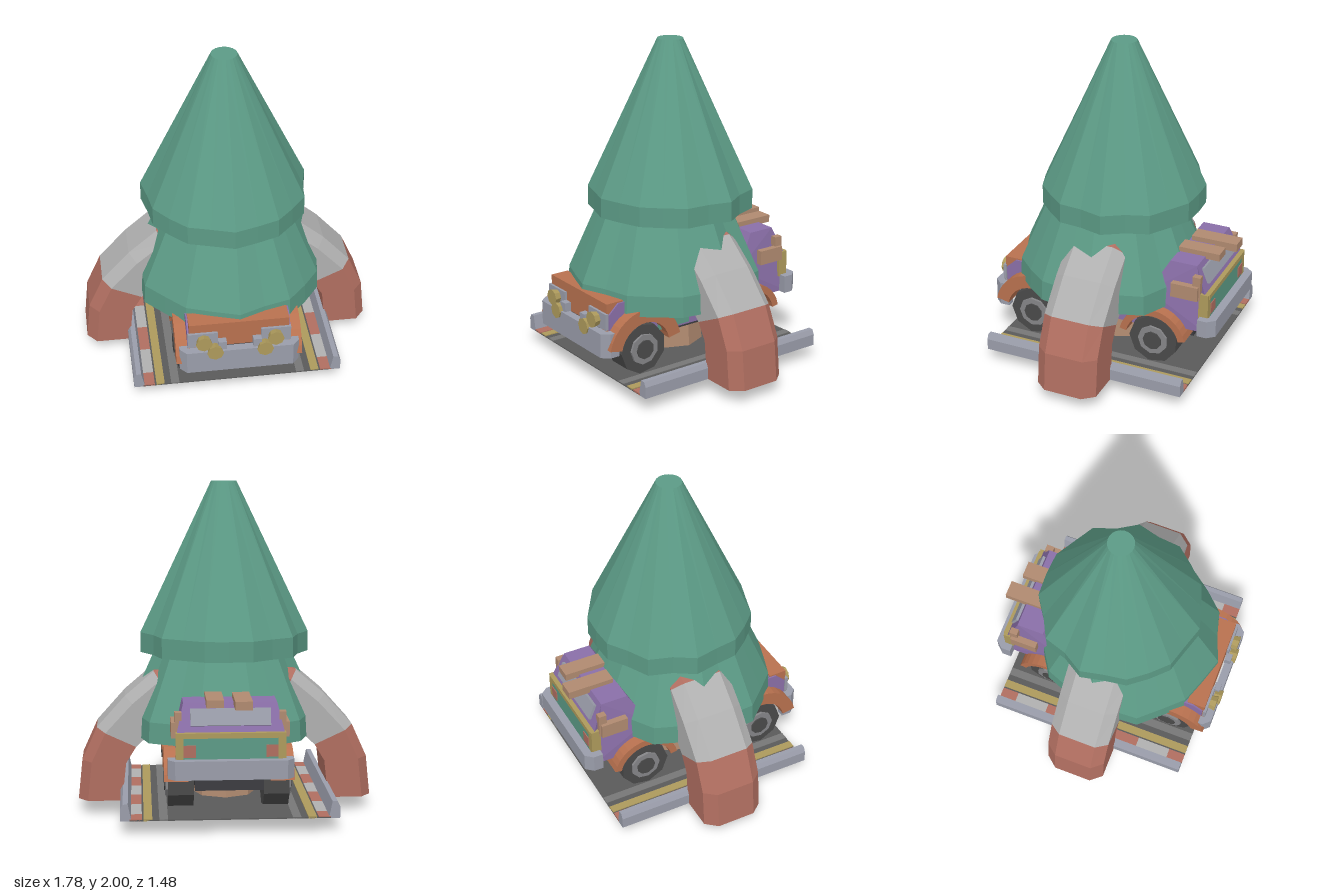
import * as THREE from 'three';

const C = {
  green: 0x5c9b86, red: 0xb06e60, light: 0xb0b0b0, steel: 0x9a9daa, wood: 0xb08a70, orange: 0xb8714f,
  purple: 0x8a6fa8, yellow: 0xad9a5c, tyre: 0x4a4a4a, floor: 0x5a5a5a, hub: 0x858588, dark: 0x3c3c40,
};

function add(parent, name, geometry, color, x = 0, y = 0, z = 0) {
  const material = new THREE.MeshStandardMaterial({ color, flatShading: true, side: THREE.DoubleSide });
  const mesh = new THREE.Mesh(geometry, material);
  mesh.name = name;
  mesh.position.set(x, y, z);
  parent.add(mesh);
  return mesh;
}

// Box from its min/max extents
function box(parent, name, color, [x0, x1], [y0, y1], [z0, z1]) {
  return add(parent, name, new THREE.BoxGeometry(x1 - x0, y1 - y0, z1 - z0), color,
    (x0 + x1) / 2, (y0 + y1) / 2, (z0 + z1) / 2);
}

const toShape = pts => new THREE.Shape(pts.map(p => new THREE.Vector2(...p)));

// Side profile given as (z, y), extruded across x
function sideExtrude(shape, width) {
  const g = new THREE.ExtrudeGeometry(shape, { depth: width, bevelEnabled: false, curveSegments: 7 });
  return g.translate(0, 0, -width / 2).rotateY(-Math.PI / 2);
}

// Fluted skirt: a lathe whose radius alternates around the circle
function tier(profile, phase) {
  const sides = 22;
  const g = new THREE.LatheGeometry(profile.map(p => new THREE.Vector2(...p)), sides);
  const pos = g.attributes.position;
  for (let i = 0; i < pos.count; i++) {
    const k = Math.floor(i / profile.length) % sides;
    const r = Math.hypot(pos.getX(i), pos.getZ(i));
    const f = r < 0.1 ? 1 : 0.975 + 0.025 * (k % 2 ? -1 : 1) + 0.015 * Math.sin(k * 2.4 + phase);
    pos.setX(i, pos.getX(i) * f);
    pos.setZ(i, pos.getZ(i) * f);
  }
  return g;
}

// Arch band lofted through stations [outerX, outerY, innerX, innerY]
function archBand(stations) {
  const verts = [], index = [], n = 6;
  for (const [ox, oy, ix, iy] of stations) {
    const mx = ox + (ix - ox) * 0.22, my = oy + (iy - oy) * 0.22;
    verts.push(ix, iy, -0.19, mx, my, -0.19, ox, oy, -0.12, ox, oy, 0.12, mx, my, 0.19, ix, iy, 0.19);
  }
  for (let s = 0; s < stations.length - 1; s++) {
    for (let i = 0; i < n; i++) {
      const a = s * n + i, b = s * n + (i + 1) % n;
      index.push(a, a + n, b, b, a + n, b + n);
    }
  }
  for (let i = 1; i < n - 1; i++) index.push(0, i, i + 1);
  const g = new THREE.BufferGeometry();
  g.setAttribute('position', new THREE.Float32BufferAttribute(verts, 3));
  g.setIndex(index);
  g.computeVertexNormals();
  return g;
}

// U-shaped bumper, open towards the vehicle
function bumper(height) {
  const s = toShape([[-0.36, 0.63], [-0.36, 0.69], [-0.32, 0.735], [0.32, 0.735], [0.36, 0.69], [0.36, 0.63],
    [0.31, 0.63], [0.31, 0.685], [-0.31, 0.685], [-0.31, 0.63]]);
  return new THREE.ExtrudeGeometry(s, { depth: height, bevelEnabled: false }).rotateX(Math.PI / 2);
}

function fenderShape(outer, inner, z, y) {
  const s = new THREE.Shape();
  s.absarc(z, y, outer, 0.2, Math.PI - 0.2, false);
  s.absarc(z, y, inner, Math.PI - 0.2, 0.2, true);
  s.closePath();
  return s;
}

function buildBase(root) {
  const base = new THREE.Group();
  base.name = 'roadBase';
  root.add(base);
  const Y = [0.09, 0.1], Z = [-0.64, 0.64];
  box(base, 'roadPlate', C.floor, [-0.58, 0.58], [0.09, 0.097], Z);
  for (const s of [-1, 1]) {
    const span = (a, b) => (s > 0 ? [a, b] : [-b, -a]);
    box(base, 'laneEdge', 0x777777, span(0.36, 0.41), Y, Z);
    box(base, 'yellowLine', C.yellow, span(0.45, 0.5), [0.09, 0.103], Z);
    // Alternating red and grey blocks
    for (let i = 0; i < 7; i++) {
      const a = Math.max(-0.64, -0.747 + i * 0.2133), b = Math.min(0.64, -0.533 + i * 0.2133);
      box(base, 'edgeBlock', i % 2 ? C.light : C.red, span(0.51, 0.58), [0.09, 0.102], [a, b]);
    }
    const curb = toShape([[0.57, 0.09], [0.635, 0.09], [0.635, 0.16], [0.62, 0.19], [0.59, 0.19]]);
    const g = new THREE.ExtrudeGeometry(curb, { depth: 1.28, bevelEnabled: false }).translate(0, 0, -0.64);
    add(base, 'curb', g, C.steel).rotation.y = s > 0 ? 0 : Math.PI;
  }
  box(base, 'undersidePlate', C.dark, [-0.14, 0.14], [0.085, 0.092], [-0.14, 0.14]);
  // Hook under the base
  const hook = new THREE.Shape();
  hook.absarc(0, 0.09, 0.087, Math.PI, Math.PI * 2, false);
  hook.lineTo(0.05, 0.12);
  hook.lineTo(-0.05, 0.12);
  const hole = new THREE.Path();
  hole.absarc(0, 0.06, 0.02, 0, Math.PI * 2, true);
  hook.holes.push(hole);
  add(base, 'hook', new THREE.ExtrudeGeometry(hook, { depth: 0.07, bevelEnabled: false, curveSegments: 5 })
    .translate(0, 0, -0.035), C.yellow);
}

function buildArch(root) {
  const stations = [[0.89, 0.09, 0.625, 0.09], [0.865, 0.33, 0.6, 0.32], [0.775, 0.53, 0.54, 0.42],
    [0.605, 0.72, 0.4, 0.55], [0.43, 0.87, 0.27, 0.65], [0.22, 0.94, 0.14, 0.7], [0, 0.96, 0, 0.72]];
  for (const turn of [0, Math.PI]) {
    const side = new THREE.Group();
    side.name = 'archSide';
    side.rotation.y = turn;
    add(side, 'archFoot', archBand(stations.slice(0, 3)), C.red);
    add(side, 'archShoulder', archBand(stations.slice(2, 5)), C.light);
    add(side, 'archCrown', archBand(stations.slice(4)), C.red);
    root.add(side);
  }
}

function buildTree(root) {
  const tree = new THREE.Group();
  tree.name = 'tree';
  root.add(tree);
  add(tree, 'trunk', new THREE.CylinderGeometry(0.17, 0.2, 0.4, 8), C.wood, 0, 0.3, 0);
  box(tree, 'trunkPanel', C.green, [-0.06, 0.06], [0.1, 0.3], [0.1, 0.24]);
  add(tree, 'lowerSkirt', tier([[0.54, 0.47], [0.592, 0.475], [0.585, 0.6], [0.41, 0.99]], 1), C.green, 0.01, 0, 0.06);
  add(tree, 'upperSkirt', tier([[0.3, 1.02], [0.46, 0.985], [0.505, 0.98], [0.505, 1.1], [0.077, 2], [0, 2]], 0), C.green);
}

function buildCar(root) {
  const car = new THREE.Group();
  car.name = 'car';
  root.add(car);
  const profile = toShape([[0.665, 0.4], [0.665, 0.5], [0.6, 0.56], [-0.3, 0.56], [-0.42, 0.77], [-0.59, 0.77],
    [-0.66, 0.6], [-0.67, 0.35], [-0.5, 0.35], [-0.2, 0.31], [0.25, 0.31], [0.6, 0.4]]);
  const body = sideExtrude(profile, 0.62);
  // Roof narrows towards the top
  const p = body.attributes.position;
  for (let i = 0; i < p.count; i++) if (p.getY(i) > 0.7) p.setX(i, p.getX(i) * 0.87);
  add(car, 'body', body, C.purple);
  box(car, 'hood', C.orange, [-0.3, 0.3], [0.4, 0.568], [0.56, 0.675]);
  box(car, 'chassis', C.dark, [-0.2, 0.2], [0.24, 0.36], [-0.55, 0.55]);
  box(car, 'gearbox', C.tyre, [-0.06, 0.06], [0.11, 0.19], [0.24, 0.4]);

  for (const s of [-1, 1]) {
    const span = (a, b) => (s > 0 ? [a, b] : [-b, -a]);
    for (const [z, outer] of [[0.455, 0.255], [-0.35, 0.215]]) {
      // Wheels with stepped hubs
      for (const [name, r, w, x, color] of [['tyre', 0.157, 0.15, 0.28, C.tyre], ['rim', 0.095, 0.02, 0.36, C.hub],
        ['hubCap', 0.06, 0.03, 0.362, C.tyre]]) {
        add(car, name, new THREE.CylinderGeometry(r, r, w, 9).rotateZ(Math.PI / 2), color, s * x, 0.255, z);
      }
      add(car, 'fender', sideExtrude(fenderShape(outer, 0.172, z, 0.255), 0.14), C.orange, s * 0.31);
      add(car, 'axle', new THREE.CylinderGeometry(0.025, 0.025, 0.3, 6).rotateZ(Math.PI / 2), C.dark, s * 0.15, 0.255, z);
    }
    box(car, 'sidePanel', C.green, span(0.3, 0.33), [0.33, 0.47], [0.1, 0.32]);
    // Lamps on steel brackets
    for (const [x, y, z] of [[0.215, 0.46, 0.705], [0.15, 0.4, 0.72]]) {
      add(car, 'lamp', new THREE.CylinderGeometry(0.05, 0.04, 0.05, 8).rotateX(Math.PI / 2), C.yellow, s * x, y, z);
    }
    box(car, 'lampBracket', C.steel, span(0.13, 0.31), [0.41, 0.51], [0.67, 0.69]);
    box(car, 'lampPost', C.steel, span(0.08, 0.13), [0.39, 0.46], [0.68, 0.72]);
    // Rear wooden sideboards and lights
    box(car, 'sideRail', C.wood, span(0.3, 0.34), [0.57, 0.66], [-0.62, -0.45]);
    box(car, 'railPost', C.wood, span(0.28, 0.32), [0.57, 0.72], [-0.63, -0.58]);
    box(car, 'tailLight', C.red, span(0.2, 0.27), [0.47, 0.54], [-0.685, -0.66]);
    box(car, 'cornerTrim', C.yellow, span(0.27, 0.315), [0.45, 0.61], [-0.68, -0.62]);
  }
  add(car, 'frontBumper', bumper(0.15), C.steel, 0, 0.405, 0);
  add(car, 'rearBumper', bumper(0.11), C.steel, 0, 0.46, 0).rotation.y = Math.PI;
  box(car, 'tailgate', C.green, [-0.27, 0.27], [0.4, 0.58], [-0.68, -0.65]);
  box(car, 'tailgateTrim', C.yellow, [-0.3, 0.3], [0.58, 0.61], [-0.685, -0.64]);
  const glass = box(car, 'rearWindow', C.steel, [-0.23, 0.23], [0.64, 0.74], [-0.64, -0.61]);
  glass.rotation.x = 0.38;
  // Planks on the roof
  box(car, 'plank', C.wood, [-0.12, -0.02], [0.75, 0.8], [-0.73, -0.44]);
  box(car, 'plank', C.wood, [0.04, 0.14], [0.755, 0.8], [-0.68, -0.42]);
}

export function createModel() {
  const root = new THREE.Group();
  root.name = 'treeShelterWithCar';
  buildBase(root);
  buildArch(root);
  buildTree(root);
  buildCar(root);
  return root;
}
